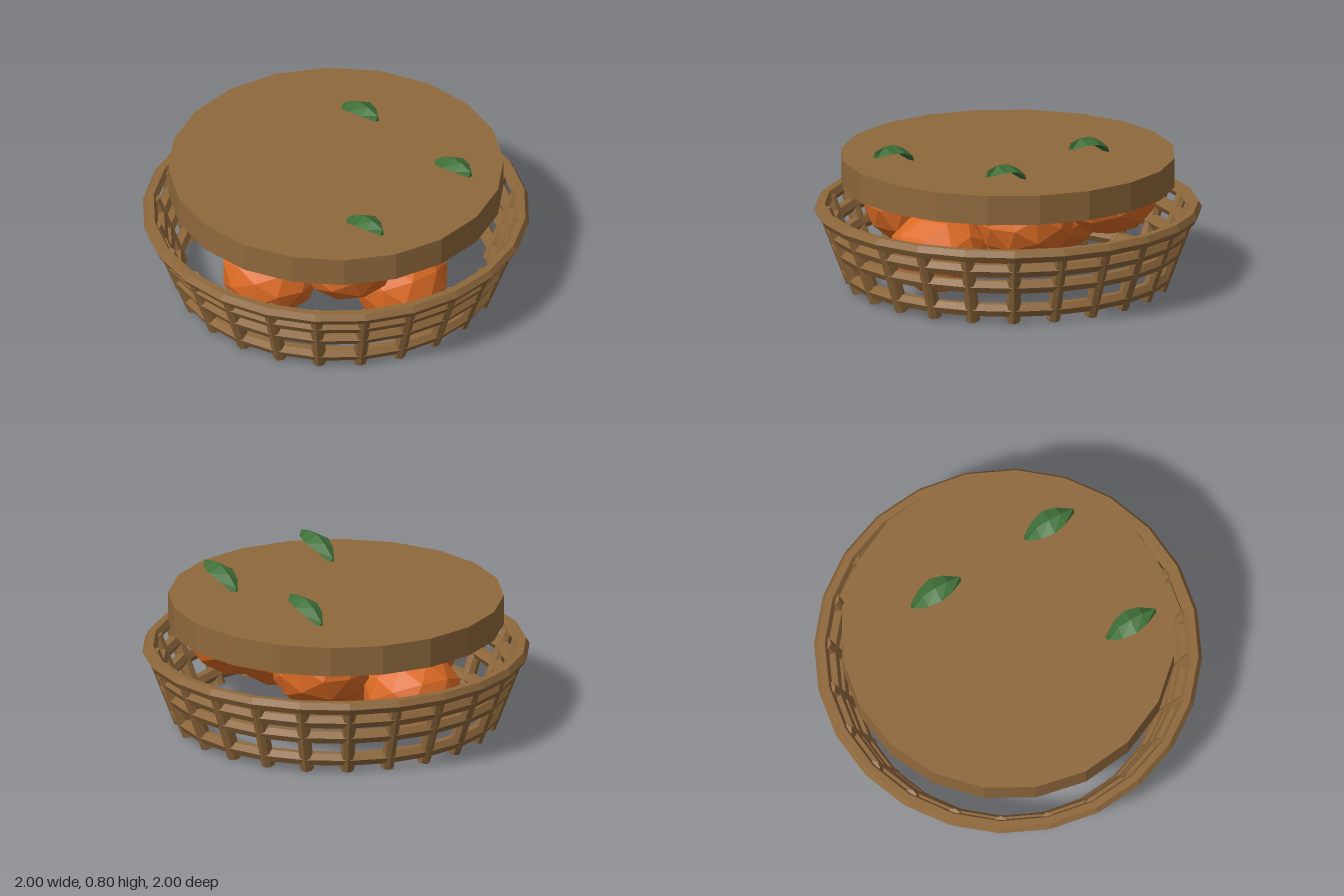
import * as THREE from 'three';

const flat = (name, color) => {
  const m = new THREE.MeshStandardMaterial({ color });
  m.name = name;
  return m;
};

// Flat facets come from unshared vertices
function faceted(geometry) {
  const g = geometry.index ? geometry.toNonIndexed() : geometry;
  g.computeVertexNormals();
  return g;
}

// Folded, arched leaf: triangular cross-sections joined along its length
function leafGeometry() {
  // along, ridge height, half width
  const sections = [
    [0, 0.02, 0.012], [0.07, 0.075, 0.053], [0.14, 0.105, 0.07],
    [0.21, 0.11, 0.053], [0.285, 0.095, 0.012],
  ];
  const points = [], index = [];
  for (const [x, y, w] of sections) {
    points.push(x, y, 0, x, y - 0.032, w, x, y - 0.032, -w);
  }
  for (let i = 0; i < sections.length - 1; i++) {
    for (let j = 0; j < 3; j++) {
      const a = i * 3 + j, b = i * 3 + (j + 1) % 3;
      index.push(a, b, a + 3, b, b + 3, a + 3);
    }
  }
  const n = (sections.length - 1) * 3;
  index.push(0, 2, 1, n, n + 1, n + 2);
  const g = new THREE.BufferGeometry();
  g.setAttribute('position', new THREE.Float32BufferAttribute(points, 3));
  g.setIndex(index);
  return faceted(g);
}

export function createModel() {
  const model = new THREE.Group();
  const wicker = flat('wicker brown', 0x8f683c);
  const peel = flat('orange peel', 0xdd6b24);
  const green = flat('leaf green', 0x3f7038);

  const add = (parent, name, geometry, material) => {
    const mesh = new THREE.Mesh(geometry, material);
    mesh.name = name;
    parent.add(mesh);
    return mesh;
  };

  // Basket: a rim and woven hoops that follow the flare of the wall
  const basket = new THREE.Group();
  basket.name = 'basket';
  model.add(basket);
  const wallRadius = (y) => 0.795 + 0.377 * y;
  const hoop = (name, y, radius) => {
    const g = new THREE.TorusGeometry(radius, 0.037, 6, 24).rotateX(Math.PI / 2);
    add(basket, name, faceted(g), wicker).position.y = y;
  };
  hoop('rim', 0.396, 0.963);
  for (const y of [0.305, 0.21, 0.073]) hoop('hoop', y, wallRadius(y));

  // Upright stakes leaning outwards
  const low = 0.013, high = 0.4;
  const run = wallRadius(high) - wallRadius(low);
  const stake = faceted(new THREE.CylinderGeometry(0.037, 0.037, Math.hypot(run, high - low), 8)
    .rotateX(Math.atan2(run, high - low))
    .translate(0, (low + high) / 2, wallRadius((low + high) / 2)));
  for (let i = 0; i < 24; i++) {
    add(basket, 'stake', stake, wicker).rotation.y = (i * Math.PI) / 12;
  }

  // Round lid resting over the fruit
  add(model, 'lid', faceted(new THREE.CylinderGeometry(0.865, 0.865, 0.155, 20)), wicker)
    .position.y = 0.6125;

  // Slightly squashed fruit in two layers, each with one leaf on top
  const radius = 0.259, squash = 0.85;
  const ball = faceted(new THREE.IcosahedronGeometry(radius, 1).scale(1, squash, 1));
  const leaf = leafGeometry();
  const places = [
    [0, 0.27, 0], [0.52, 0.27, 0], [0.06, 0.27, 0.48], [-0.49, 0.27, 0.14],
    [-0.38, 0.47, -0.35], [0.31, 0.47, -0.41], [0.43, 0.47, 0.27],
  ];
  for (const [x, y, z] of places) {
    const fruit = new THREE.Group();
    fruit.name = 'fruit';
    fruit.position.set(x, y, z);
    add(fruit, 'fruitBody', ball, peel);
    add(fruit, 'leaf', leaf, green).position.y = radius * squash;
    model.add(fruit);
  }
  return model;
}
